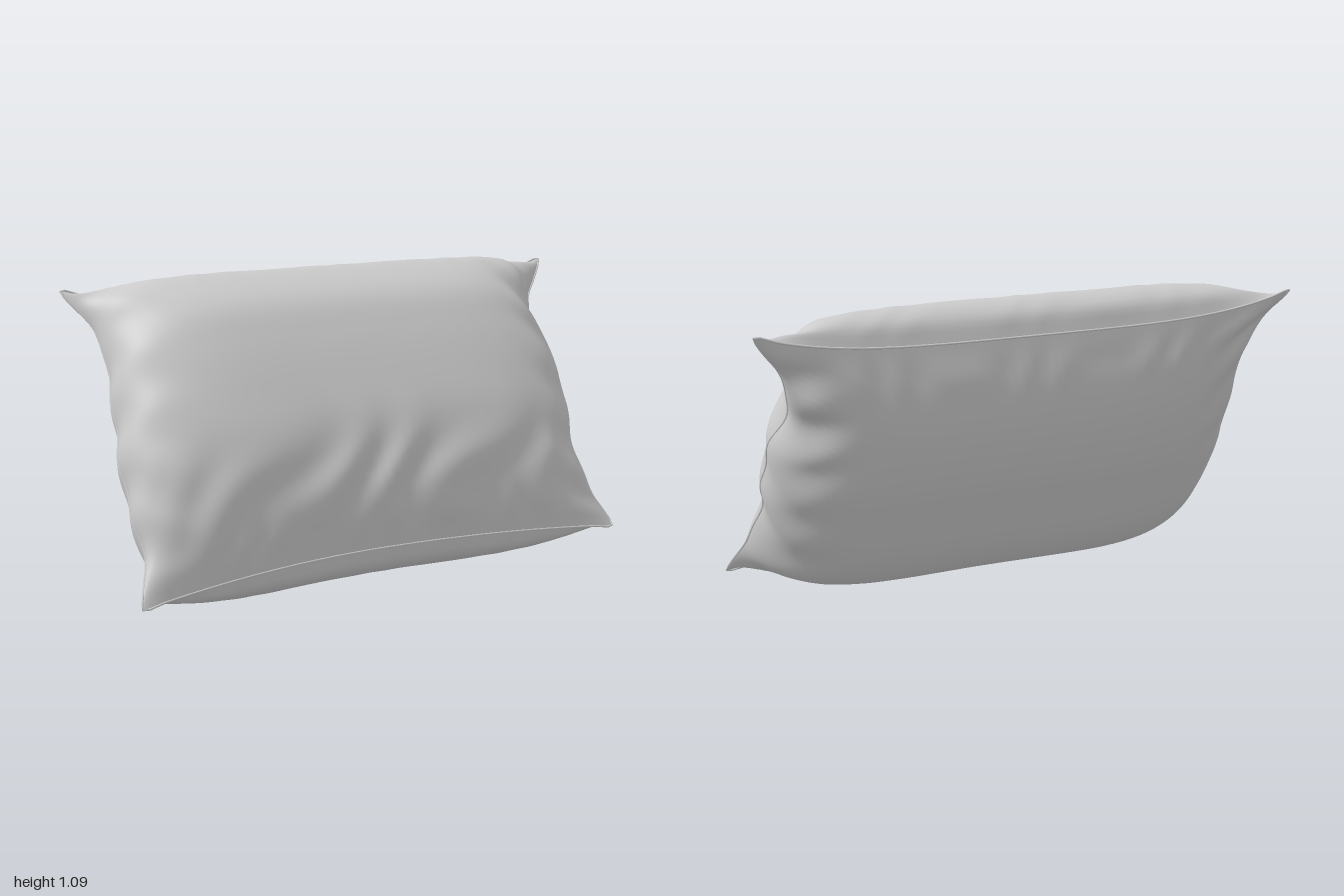
import * as THREE from 'three';

const curve = (pts) => new THREE.CatmullRomCurve3(pts.map(([y, z]) => new THREE.Vector3(0, y, z)));

// Middle cross-section as [y, z], from the bottom seam to the top seam
const FRONT = curve([[0.13, 0.235], [0.28, 0.25], [0.42, 0.245], [0.6, 0.205], [0.75, 0.14], [0.9, 0.06],
  [1.0, -0.01], [1.06, -0.1], [1.09, -0.2], [1.05, -0.265], [0.97, -0.285]]);
const BACK = curve([[0.13, 0.235], [0.06, 0.22], [0.015, 0.16], [0.005, 0.09], [0.04, 0.02], [0.13, -0.06],
  [0.3, -0.15], [0.45, -0.22], [0.63, -0.272], [0.8, -0.29], [0.97, -0.285]]);

// Half-widths of the side seams as [height fraction, x], with flared corners
const sideCurve = (pts) => new THREE.SplineCurve(pts.map(([v, x]) => new THREE.Vector2(v, x)));
const LEFT = sideCurve([[0, 0.99], [0.14, 0.925], [0.28, 0.885], [0.42, 0.89], [0.56, 0.875], [0.7, 0.825], [0.86, 0.87], [1, 0.96]]);
const RIGHT = sideCurve([[0, 0.93], [0.14, 0.89], [0.28, 0.905], [0.42, 0.91], [0.56, 0.9], [0.7, 0.89], [0.86, 0.905], [1, 1.0]]);

const bump = (t, centre, width) => Math.exp(-(((t - centre) / width) ** 2));

// Flat sheet spanned by the seam outline; u runs -1..1 across, v runs 0..1 upwards
function sheet(u, v) {
  const bottom = new THREE.Vector3(0, 0.13 - 0.058 * u * u, 0.235 + (u < 0 ? 0.072 : -0.007) * u * u);
  const top = new THREE.Vector3(0, 0.97 + 0.08 * u ** 4, -0.285 - 0.012 * u);
  const p = bottom.lerp(top, v);
  const pucker = 0.007 * Math.sin(v * 34 + u) * Math.sin(Math.PI * v) * u ** 6;
  p.x = u * ((u > 0 ? LEFT : RIGHT).getPoint(v).y + pucker);
  return p;
}

// Folds in the cloth
function wrinkle(u, v, isFront) {
  const end = bump(Math.abs(u), 0.93, 0.11);
  const corner = u > 0 ? 0.5 + bump(v, 0.78, 0.2) : 0.35 + bump(v, 0.95, 0.15);
  let d = 0.02 * end * corner * Math.sin(v * 40 + u * 14);
  if (isFront) {
    d += 0.011 * bump(v, 0.22, 0.13) * (1 - u ** 4) * Math.sin(u * 19 + 2 * Math.sin(v * 13) + 1.5 * Math.sin(u * 7));
  }
  // small gathers along the top and bottom seams
  d += 0.005 * (bump(v, 0.08, 0.06) + bump(v, 0.92, 0.06)) * Math.sin(u * 27 + 2 * Math.sin(u * 11));
  return d * Math.min(1, v * 12, (1 - v) * 12);
}

function surfacePoint(u, v, profile, side) {
  const p = sheet(u, v);
  const fill = Math.sqrt(Math.max(0, 1 - Math.abs(u) ** (v < 0.5 ? 4 + 2 * v : 5)));
  const bulge = profile.getPointAt(v).sub(sheet(0, v)).multiplyScalar(fill);
  const d = wrinkle(u, v, side > 0) * fill * side;
  return p.add(bulge).add(new THREE.Vector3(0, 0.52 * d, 0.85 * d));
}

// One cloth panel lofted between the seams
function panel(profile, side) {
  const nu = 96, nv = 64, pos = [], index = [];
  for (let j = 0; j <= nv; j++) {
    for (let i = 0; i <= nu; i++) {
      const u = Math.sin((i / nu - 0.5) * Math.PI);
      pos.push(...surfacePoint(u, j / nv, profile, side).toArray());
    }
  }
  for (let j = 0; j < nv; j++) {
    for (let i = 0; i < nu; i++) {
      const a = j * (nu + 1) + i, b = a + 1, c = b + nu + 1, d = a + nu + 1;
      if (side > 0) index.push(a, b, c, a, c, d);
      else index.push(a, c, b, a, d, c);
    }
  }
  const g = new THREE.BufferGeometry();
  g.setAttribute('position', new THREE.Float32BufferAttribute(pos, 3));
  g.setIndex(index);
  g.computeVertexNormals();
  return g;
}

// Thin stitched edge running round the outline
function seamGeometry() {
  const corners = [[-1, 0], [1, 0], [1, 1], [-1, 1]], pts = [], n = 24;
  corners.forEach(([u, v], k) => {
    const [u2, v2] = corners[(k + 1) % 4];
    for (let i = 0; i < n; i++) pts.push(sheet(u + (u2 - u) * i / n, v + (v2 - v) * i / n));
  });
  return new THREE.TubeGeometry(new THREE.CatmullRomCurve3(pts, true), 240, 0.004, 6, true);
}

export function createModel() {
  const group = new THREE.Group();
  group.name = 'pillow';
  const cloth = new THREE.MeshStandardMaterial({ color: 0xcccccc, side: THREE.DoubleSide });
  const add = (name, geometry) => {
    const mesh = new THREE.Mesh(geometry, cloth);
    mesh.name = name;
    group.add(mesh);
  };
  add('frontPanel', panel(FRONT, 1));
  add('backPanel', panel(BACK, -1));
  add('seam', seamGeometry());
  return group;
}
